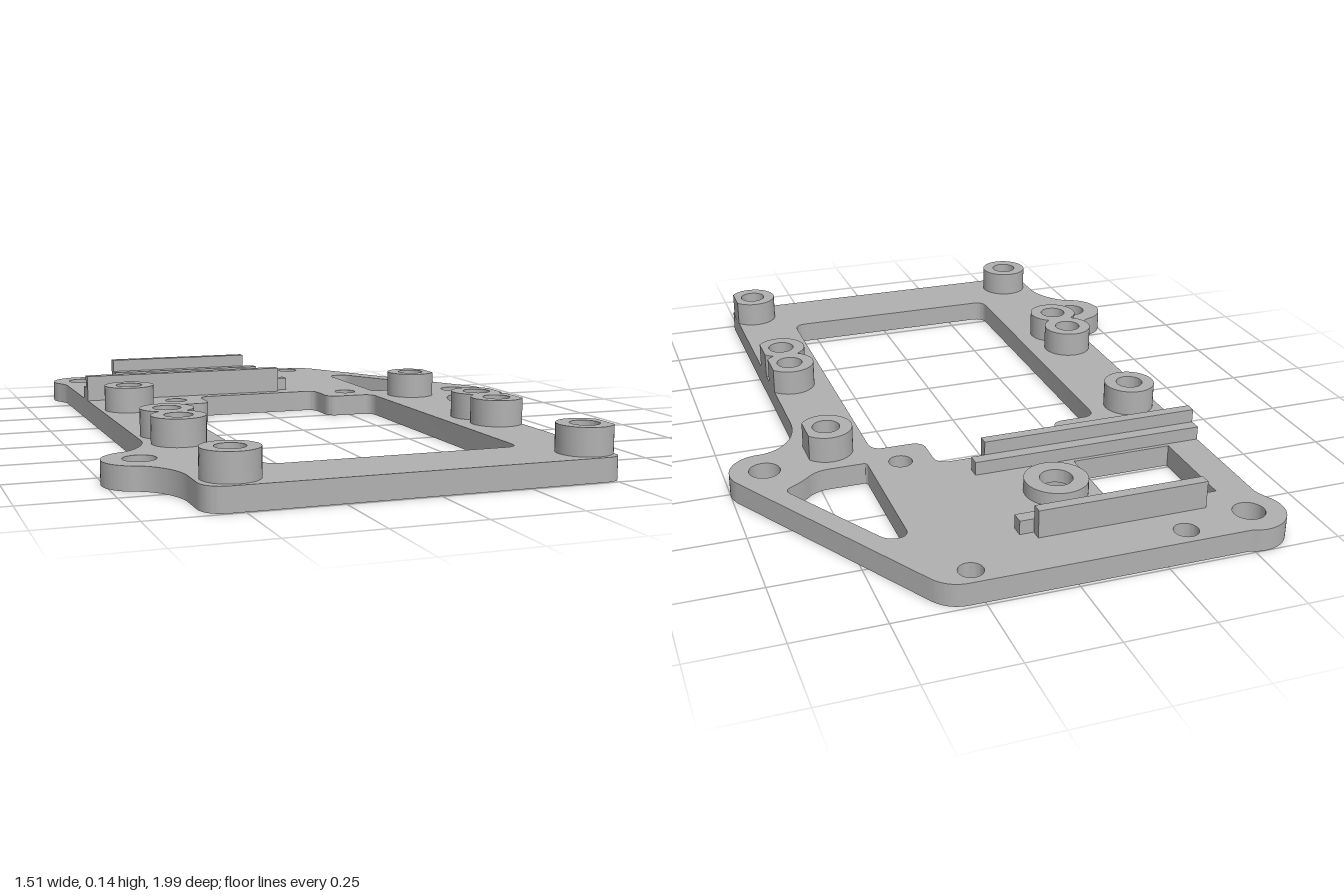
import * as THREE from 'three';
import { toCreasedNormals } from 'three/addons/utils/BufferGeometryUtils.js';

const PLATE = 0.065, BOSS_TOP = 0.142, EDGE = 0.515;

// Circular hole path, in (x, z)
function circle(x, z, r) {
  return new THREE.Path().absarc(x, z, r, 0, Math.PI * 2, true);
}

// Closed path through [x, z, cornerRadius] points
function roundedPath(points) {
  const path = new THREE.Path();
  points.forEach(([x, z, r], i) => {
    const p = new THREE.Vector2(x, z);
    const toward = ([a, b]) => {
      const d = new THREE.Vector2(a, b).sub(p).setLength(r);
      return d.add(p);
    };
    const a = toward(points[(i + points.length - 1) % points.length]);
    const b = toward(points[(i + 1) % points.length]);
    if (i) path.lineTo(a.x, a.y); else path.moveTo(a.x, a.y);
    if (r) path.quadraticCurveTo(x, z, b.x, b.y);
  });
  path.closePath();
  return path;
}

// Upright extrusion of an (x, z) shape between two heights
function slab(shape, y0, y1) {
  const g = new THREE.ExtrudeGeometry(shape, { depth: y1 - y0, bevelEnabled: false, curveSegments: 20 });
  g.rotateX(Math.PI / 2).translate(0, y1, 0);
  return toCreasedNormals(g, 0.6);
}

export function createModel() {
  const group = new THREE.Group();
  const grey = new THREE.MeshStandardMaterial({ color: 0xb0b0b0 });
  grey.name = 'light grey';
  const add = (name, geometry) => {
    const mesh = new THREE.Mesh(geometry, grey);
    mesh.name = name;
    group.add(mesh);
  };

  // Base plate outline with three mounting ears
  const plate = new THREE.Shape();
  plate.moveTo(-0.6, 0.35);
  plate.lineTo(-0.6, -0.8);
  plate.quadraticCurveTo(-0.6, -0.82, -0.622, -0.861);
  plate.absarc(-0.53, -0.9, 0.1, 2.74, 5.14, false);
  plate.lineTo(0.29, -0.99);
  plate.quadraticCurveTo(0.35, -0.99, 0.38, -0.935);
  plate.absarc(0.65, -0.26, 0.1, -0.517, 1.67, false);
  plate.bezierCurveTo(0.56, -0.15, EDGE, -0.07, EDGE, 0.02);
  plate.lineTo(EDGE, 0.97);
  plate.quadraticCurveTo(0.5, 0.995, 0.47, 0.995);
  plate.lineTo(-0.53, 0.995);
  plate.quadraticCurveTo(-0.6, 0.995, -0.6, 0.925);
  plate.lineTo(-0.6, 0.85);
  plate.bezierCurveTo(-0.6, 0.78, -0.645, 0.71, -0.69, 0.695);
  plate.absarc(-0.66, 0.6, 0.1, 1.876, Math.PI * 2 - 1.876, false);
  plate.bezierCurveTo(-0.645, 0.49, -0.6, 0.42, -0.6, 0.35);

  // Main opening, square window and triangular lightening cut-out
  plate.holes.push(
    roundedPath([
      [-0.38, 0.78, 0.04], [0.33, 0.78, 0.04], [0.33, -0.235, 0.04], [0.175, -0.235, 0.04],
      [0.175, -0.375, 0.04], [-0.235, -0.375, 0.04], [-0.235, -0.235, 0.04], [-0.38, -0.235, 0.04],
    ]),
    roundedPath([[-0.5, -0.49, 0], [-0.2, -0.49, 0], [-0.2, -0.775, 0], [-0.5, -0.775, 0]]),
    roundedPath([
      [0.365, -0.31, 0.012], [0.515, -0.31, 0.04], [0.56, -0.355, 0.03],
      [0.622, -0.392, 0.025], [0.425, -0.732, 0.03], [0.365, -0.732, 0.035],
    ]),
  );

  // Ear holes, small screw holes and the recess under the middle boss
  for (const [x, z] of [[-0.53, -0.9], [0.65, -0.26], [-0.66, 0.6]]) plate.holes.push(circle(x, z, 0.045));
  for (const x of [-0.325, 0.27]) for (const z of [-0.935, -0.33]) plate.holes.push(circle(x, z, 0.034));
  plate.holes.push(circle(-0.085, -0.63, 0.086));

  // Side bosses; the ones on the left are cut flush with the plate edge
  for (const x of [-0.51, 0.453]) {
    for (const z of [-0.195, 0.29, 0.42, 0.905]) {
      plate.holes.push(circle(x, z, 0.04));
      const boss = new THREE.Shape();
      const cut = x > 0 ? Math.acos((EDGE - x) / 0.076) : 0;
      boss.absarc(x, z, 0.076, cut, Math.PI * 2 - cut, false);
      boss.holes.push(circle(x, z, 0.04));
      add('sideBoss', slab(boss, PLATE, BOSS_TOP));
    }
  }
  add('basePlate', slab(plate, 0, PLATE));

  // Middle boss
  const middle = new THREE.Shape();
  middle.absarc(-0.085, -0.63, 0.09, 0, Math.PI * 2, false);
  middle.holes.push(circle(-0.085, -0.63, 0.046));
  add('middleBoss', slab(middle, PLATE, 0.105));

  // Two stepped rails: a tall fin and a low ledge facing each other
  const rail = (name, x0, x1, z0, z1, top) => {
    const g = new THREE.BoxGeometry(x1 - x0, top - PLATE, z1 - z0);
    add(name, g.translate((x0 + x1) / 2, (top + PLATE) / 2, (z0 + z1) / 2));
  };
  rail('backRailFin', -0.43, 0.055, -0.848, -0.817, 0.145);
  rail('backRailLedge', -0.43, 0.095, -0.817, -0.78, 0.105);
  rail('frontRailFin', -0.6, 0.055, -0.442, -0.411, 0.145);
  rail('frontRailLedge', -0.6, 0.095, -0.478, -0.442, 0.105);

  return group;
}
